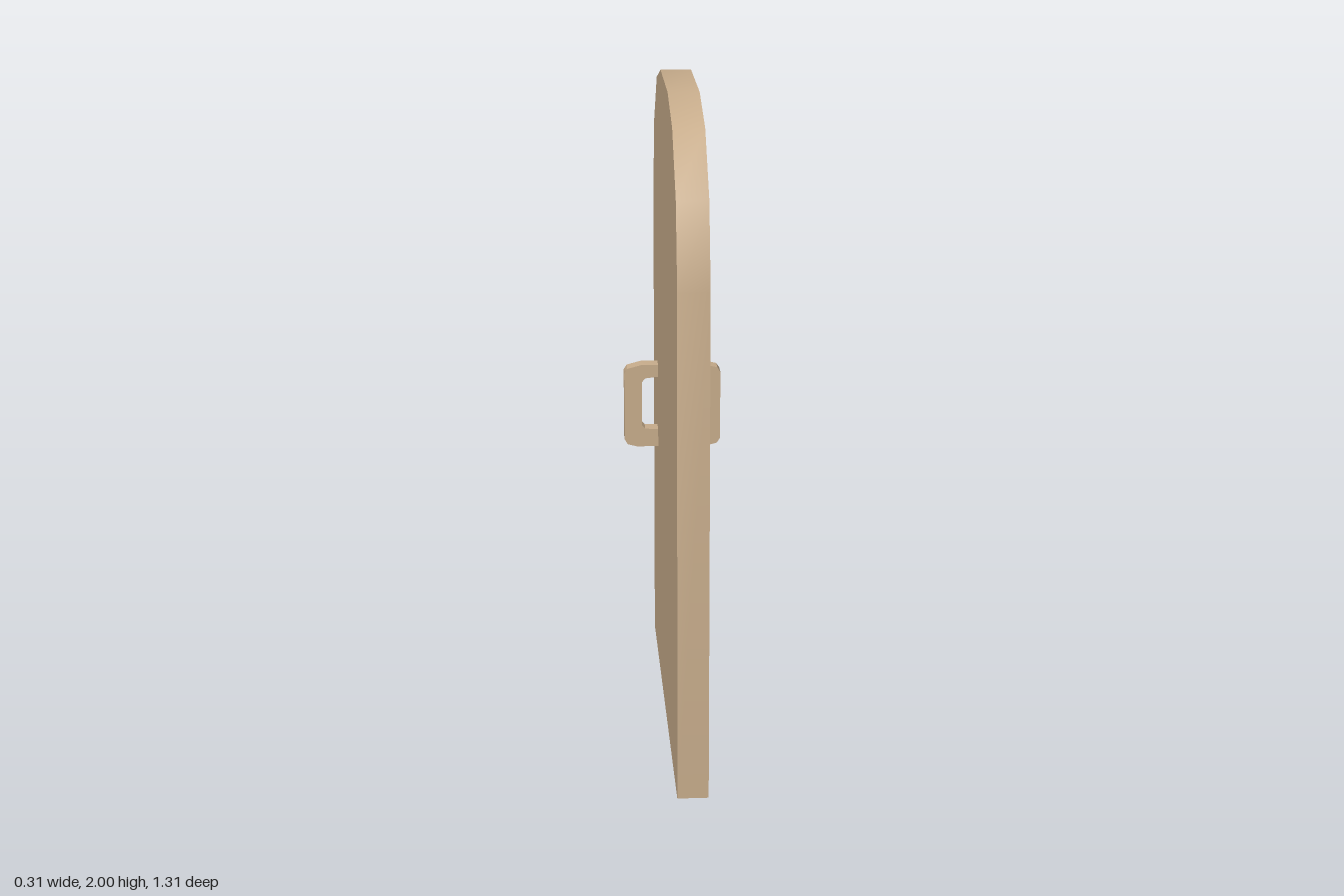
import * as THREE from 'three';
import { toCreasedNormals } from 'three/addons/utils/BufferGeometryUtils.js';

const wood = new THREE.MeshStandardMaterial({ color: 0xc8ad8c });

// Extrude an outline along z, centred on z = 0
function slab(points, depth) {
  const shape = new THREE.Shape(points.map(([x, y]) => new THREE.Vector2(x, y)));
  const geometry = new THREE.ExtrudeGeometry(shape, { depth, bevelEnabled: false });
  geometry.translate(0, 0, -depth / 2);
  return toCreasedNormals(geometry, 0.6);
}

export function createModel() {
  const group = new THREE.Group();
  group.name = 'door';

  // Arched door panel: one half of the outline, mirrored
  const half = [[0.655, 0], [0.655, 1.53], [0.592, 1.772], [0.422, 1.94], [0.193, 2]];
  const mirrored = half.map(([z, y]) => [-z, y]).reverse();
  const panelGeometry = slab([...half, ...mirrored], 0.092);
  panelGeometry.rotateY(Math.PI / 2);
  const panel = new THREE.Mesh(panelGeometry, wood);
  panel.name = 'doorPanel';
  group.add(panel);

  // C-shaped pull handle on each face
  const profile = [
    [0.045, 1.015], [0.1, 1.015], [0.145, 1.003], [0.155, 0.988],
    [0.155, 0.765], [0.145, 0.748], [0.115, 0.74], [0.045, 0.74],
    [0.045, 0.798], [0.088, 0.8], [0.098, 0.812],
    [0.098, 0.957], [0.088, 0.97], [0.045, 0.975],
  ];
  for (const side of [1, -1]) {
    const handle = new THREE.Mesh(slab(profile.map(([x, y]) => [side * x, y]), 0.05), wood);
    handle.position.z = -0.414;
    handle.name = side > 0 ? 'leftHandle' : 'rightHandle';
    group.add(handle);
  }

  return group;
}
